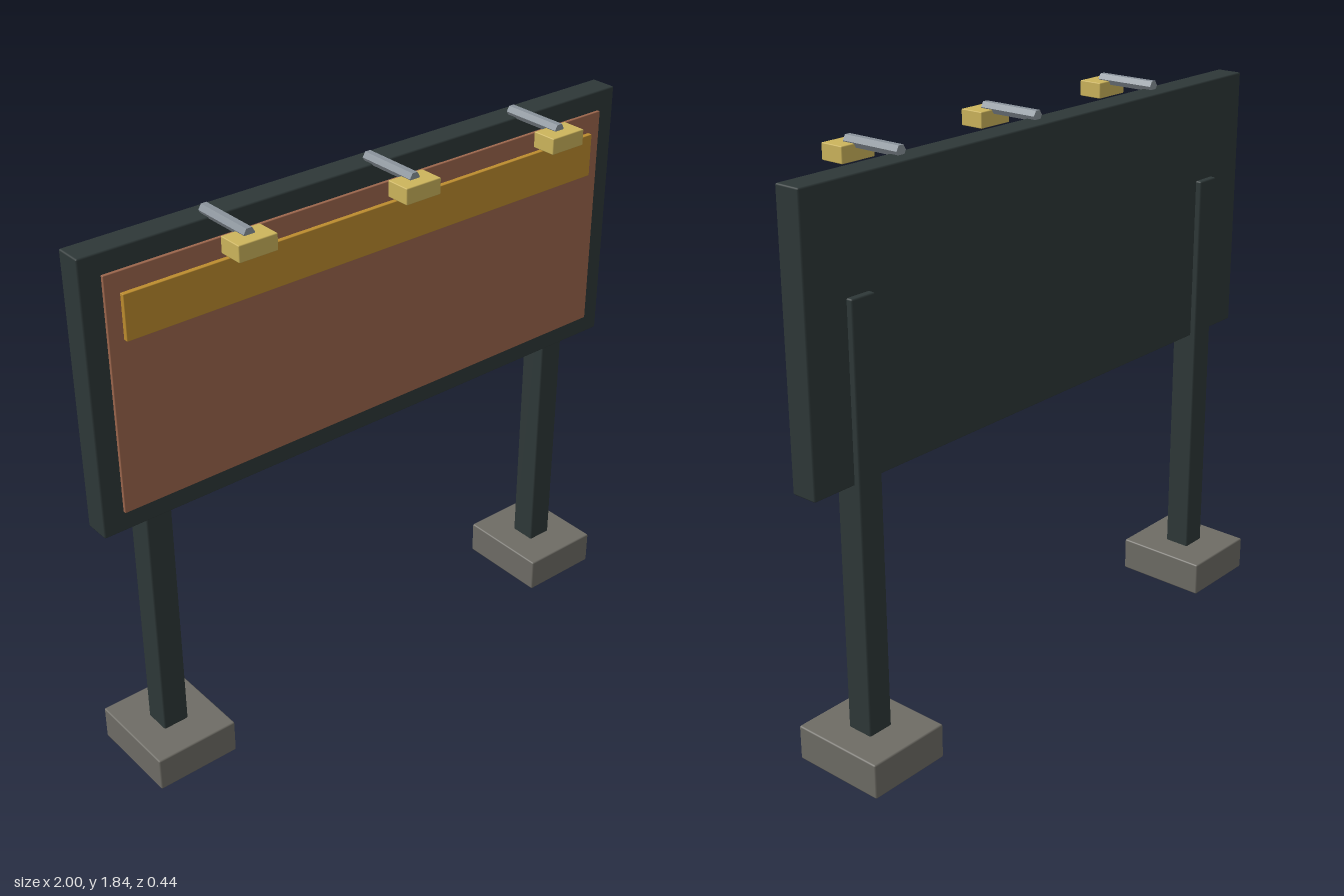
import * as THREE from 'three';
import { RoundedBoxGeometry } from 'three/addons/geometries/RoundedBoxGeometry.js';

const material = (name, color) => {
  const m = new THREE.MeshStandardMaterial({ color });
  m.name = name;
  return m;
};

export function createModel() {
  const model = new THREE.Group();
  model.name = 'billboard';

  const darkSteel = material('dark steel', 0x2e3838);
  const rust = material('rust panel', 0x9c664c);
  const ochre = material('ochre', 0xbc8c2e);
  const concrete = material('concrete', 0x6e6c65);
  const lampYellow = material('lamp yellow', 0xcdb55c);
  const grey = material('grey metal', 0x8a939b);

  // Slightly bevelled box given by its extents on each axis
  const box = (name, mat, [x0, x1], [y0, y1], [z0, z1], bevel = 0.005) => {
    const geo = new RoundedBoxGeometry(x1 - x0, y1 - y0, z1 - z0, 1, bevel);
    const mesh = new THREE.Mesh(geo, mat);
    mesh.name = name;
    mesh.position.set((x0 + x1) / 2, (y0 + y1) / 2, (z0 + z1) / 2);
    model.add(mesh);
  };
  const around = (c, w) => [c - w / 2, c + w / 2];

  // Board, poster face and header strip
  box('board', darkSteel, [-1, 1], [0.93, 1.81], [-0.084, 0.004]);
  box('posterFace', rust, [-0.932, 0.932], [0.995, 1.745], [-0.01, 0.014], 0.002);
  box('headerStrip', ochre, [-0.885, 0.885], [1.54, 1.682], [0.005, 0.029], 0.002);

  // Posts on concrete footings
  for (const side of [-1, 1]) {
    box('post', darkSteel, around(side * 0.806, 0.088), [0.08, 1.48], [-0.104, -0.014]);
    box('footing', concrete, around(side * 0.804, 0.285), [0, 0.115], [-0.221, 0.101]);
  }

  // Lamps on hexagonal arms along the top edge
  const armGeo = new THREE.CylinderGeometry(0.0185, 0.0185, 0.21, 6).toNonIndexed();
  armGeo.rotateY(Math.PI / 6).rotateX(Math.PI / 2);
  armGeo.computeVertexNormals();
  for (const x of [-0.576, 0, 0.576]) {
    const arm = new THREE.Mesh(armGeo, grey);
    arm.name = 'lampArm';
    arm.position.set(x, 1.821, 0.073);
    model.add(arm);
    box('lamp', lampYellow, around(x, 0.128), [1.767, 1.818], [0.136, 0.218], 0.003);
  }
  return model;
}
